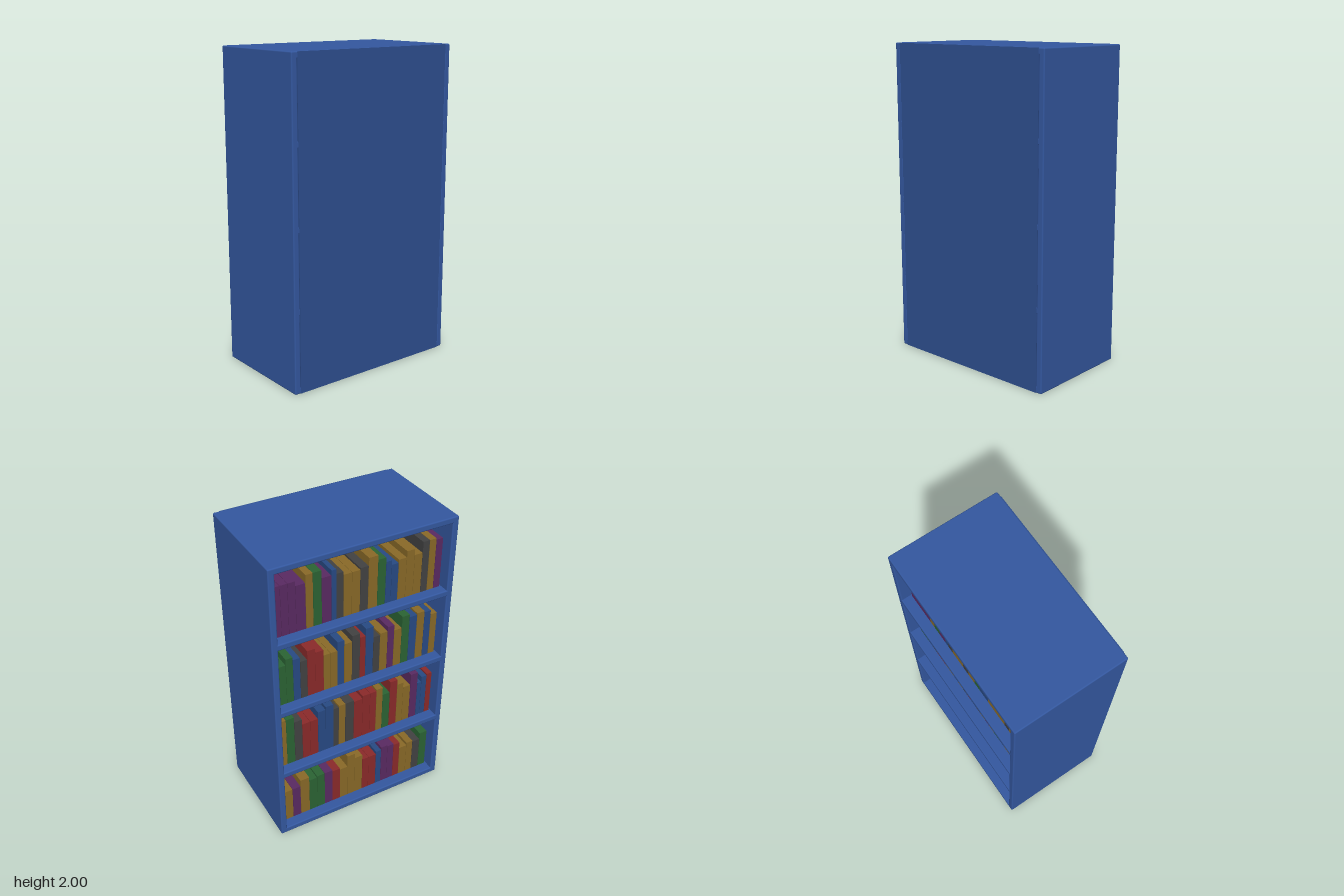
import * as THREE from 'three';
import { RoundedBoxGeometry } from 'three/addons/geometries/RoundedBoxGeometry.js';

const mat = (color) => new THREE.MeshStandardMaterial({ color });
const frameMat = mat(0x3458a0);
const panelMat = mat(0x2e4f90);
const covers = {
  R: mat(0x8b2a2a), G: mat(0x2b6434), Y: mat(0x8a6a28),
  P: mat(0x5a2a62), B: mat(0x284a84), K: mat(0x424242),
};

const W = 1.2, H = 2, D = 0.714, T = 0.04; // overall size and board thickness
const PITCH = (H - T) / 4;

// Books per shelf from +x to -x, top shelf first: cover, relative width, height in hundredths
const ROWS = [
  'P6:33 P6:33 P6:33 P8:30 Y6:35 G7:35 P8:30 B4:33 K6:30 Y7:28 Y7:28 K7:29 Y8:34 G7:31 B5:28 B6:25 Y7:27 Y7:31 Y7:27 K6:34 Y6:34 P6:33',
  'G6:28 G6:32 B6:30 K6:27 R7:33 R7:30 Y6:26 Y6:26 B6:32 Y7:29 K7:33 R5:30 B7:35 K6:27 Y7:28 P6:31 Y7:27 G7:35 B7:33 Y7:34 B6:33 Y6:30',
  'Y6:36 G7:36 K7:32 R7:28 R7:28 B7:33 B7:35 K5:31 Y6:32 K8:32 R8:31 R7:33 R6:33 Y6:34 G7:28 R7:36 Y6:32 Y7:28 P7:36 B4:27 B5:31 R5:32',
  'Y7:25 P7:25 Y8:30 G7:27 G7:28 P7:28 R7:27 Y7:26 Y7:35 Y7:31 R6:27 R7:27 B5:29 P6:31 P6:30 R6:29 Y7:24 Y6:26 K7:25 G7:30',
];

function board(name, w, h, d, x, y, z) {
  const m = new THREE.Mesh(new RoundedBoxGeometry(w, h, d, 2, 0.008), frameMat);
  m.name = name;
  m.position.set(x, y, z);
  return m;
}

function bookRow(row, index) {
  const g = new THREE.Group();
  g.name = 'bookRow' + (index + 1);
  const books = row.split(' ').map((s) => {
    const [width, height] = s.slice(1).split(':').map(Number);
    return { cover: s[0], width, height: height / 100 };
  });
  const total = books.reduce((sum, b) => sum + b.width, 0);
  const start = index % 2 ? 0.535 : 0.55;
  const scale = (start + 0.55) / total;
  const depth = 0.36;
  let x = start;
  for (const b of books) {
    const w = b.width * scale;
    const m = new THREE.Mesh(new THREE.BoxGeometry(w - 0.002, b.height, depth), covers[b.cover]);
    m.name = 'book';
    m.position.set(x - w / 2, b.height / 2, -0.29 + depth / 2);
    g.add(m);
    x -= w;
  }
  g.position.y = (3 - index) * PITCH + T;
  return g;
}

export function createModel() {
  const model = new THREE.Group();
  model.name = 'bookcase';

  // Upright sides
  for (const s of [-1, 1]) {
    model.add(board(s > 0 ? 'leftSide' : 'rightSide', T, H, D, s * (W - T) / 2, H / 2, 0));
  }

  // Base, three shelves and top, open toward -z
  const names = ['base', 'lowerShelf', 'middleShelf', 'upperShelf', 'top'];
  names.forEach((name, i) => model.add(board(name, W, T, D, 0, T / 2 + i * PITCH, 0)));

  // Closing panel on the +z side
  const panel = new THREE.Mesh(new THREE.BoxGeometry(W - 2 * T, H - 0.002, T), panelMat);
  panel.name = 'closingPanel';
  panel.position.set(0, H / 2, D / 2 - T / 2 + 0.001);
  model.add(panel);

  // Books
  ROWS.forEach((row, i) => model.add(bookRow(row, i)));
  return model;
}
